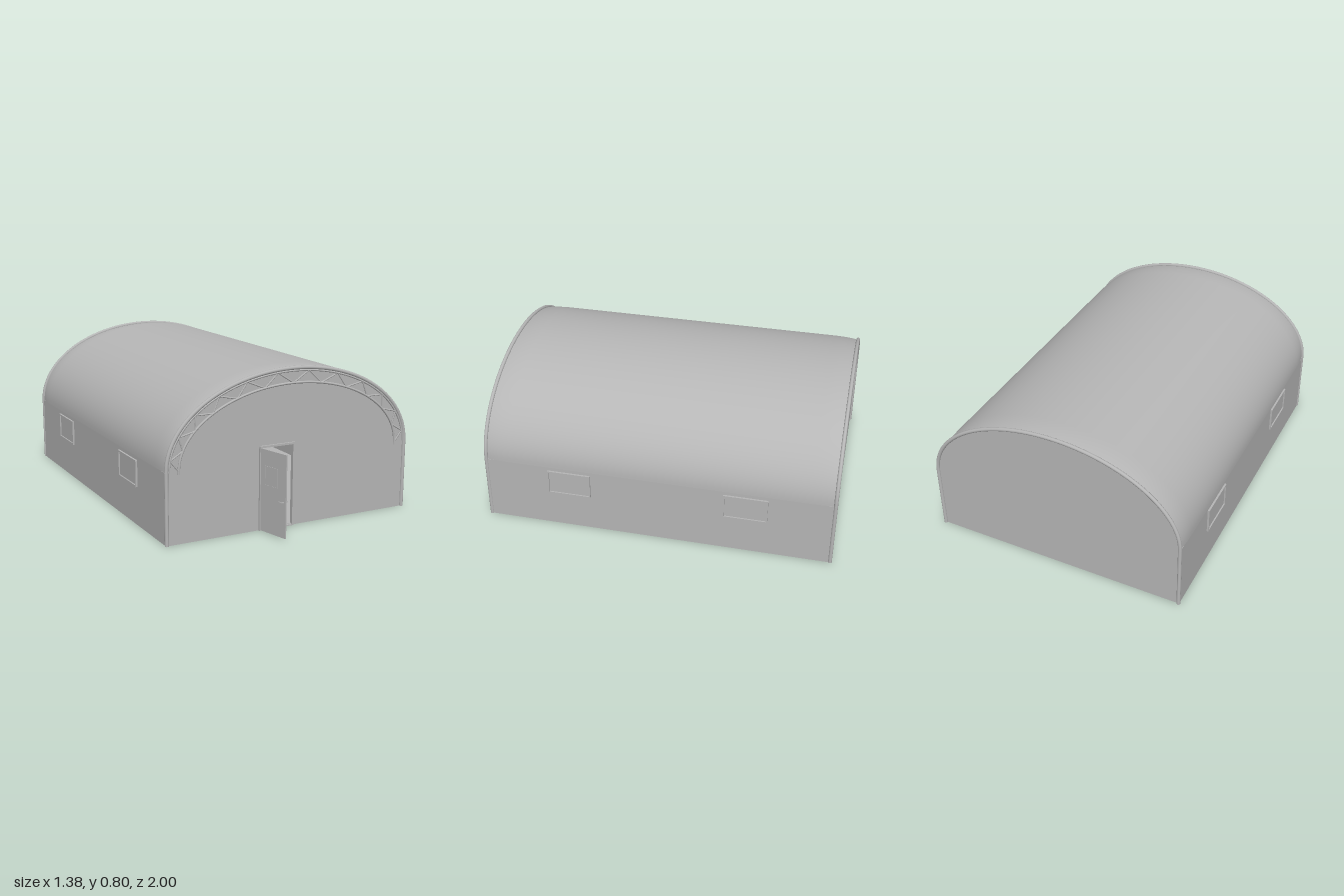
import * as THREE from 'three';

const FRONT = 0.82, BACK = -0.99, EAVE = 0.355;

export function createModel() {
  const model = new THREE.Group();
  model.name = 'archedHangar';
  const grey = new THREE.MeshStandardMaterial({ color: 0xb6b6b6, side: THREE.DoubleSide });
  grey.name = 'plainGrey';

  const add = (name, geometry, parent = model) => {
    const mesh = new THREE.Mesh(geometry, grey);
    mesh.name = name;
    parent.add(mesh);
    return mesh;
  };
  const box = (name, w, h, d, x, y, z, parent) => {
    const mesh = add(name, new THREE.BoxGeometry(w, h, d), parent);
    mesh.position.set(x, y, z);
    return mesh;
  };
  // Point on a half-ellipse above the eaves, t measured from +x
  const arc = (a, b, t, z = 0) => new THREE.Vector3(a * Math.cos(t), EAVE + b * Math.sin(t), z);
  const arcPoints = (a, b, z, n = 48) =>
    Array.from({ length: n + 1 }, (_, i) => arc(a, b, Math.PI * i / n, z));
  const tube = (name, pts, r, parent) =>
    add(name, new THREE.TubeGeometry(new THREE.CatmullRomCurve3(pts), 120, r, 10), parent);

  // Floor slab and side walls
  box('floor', 1.35, 0.008, FRONT - BACK, 0, 0.004, (FRONT + BACK) / 2);
  for (const s of [-1, 1]) {
    box('sideWall', 0.01, EAVE, FRONT - BACK, s * 0.674, EAVE / 2, (FRONT + BACK) / 2);
  }

  // End walls; the front one has a doorway
  const endWall = (name, z, doorway) => {
    const shape = new THREE.Shape();
    shape.moveTo(-0.674, 0);
    if (doorway) {
      shape.lineTo(-0.175, 0);
      shape.lineTo(-0.175, 0.416);
      shape.lineTo(0, 0.416);
      shape.lineTo(0, 0);
    }
    shape.lineTo(0.674, 0);
    for (const p of arcPoints(0.674, 0.432, 0)) shape.lineTo(p.x, p.y);
    add(name, new THREE.ExtrudeGeometry(shape, { depth: 0.01, bevelEnabled: false })).position.z = z;
  };
  endWall('frontWall', FRONT - 0.01, true);
  endWall('backWall', BACK, false);

  // Vaulted roof skin, drawn in slightly towards both ends
  const rows = [[BACK, 0.012], [-0.96, 0.006], [-0.92, 0.002], [-0.87, 0],
    [0.7, 0], [0.75, 0.002], [0.79, 0.006], [FRONT, 0.012]];
  const roof = new THREE.PlaneGeometry(1, 1, 64, rows.length - 1);
  const pos = roof.attributes.position;
  for (let i = 0; i < pos.count; i++) {
    const t = Math.PI * (pos.getX(i) + 0.5);
    const [z, inset] = rows[Math.round((pos.getY(i) + 0.5) * (rows.length - 1))];
    const p = arc(0.682 - inset * 0.7, 0.443 - inset, t, z);
    pos.setXYZ(i, p.x, p.y, p.z);
  }
  roof.computeVertexNormals();
  add('roof', roof);

  // Tubular rims with corner posts at both ends
  for (const z of [FRONT, BACK]) {
    const end = z === FRONT ? 'front' : 'back';
    tube(end + 'RimArch', arcPoints(0.675, 0.435, z), 0.01);
    for (const s of [-1, 1]) {
      const post = add(end + 'Post', new THREE.CylinderGeometry(0.01, 0.01, EAVE, 12));
      post.position.set(s * 0.675, EAVE / 2, z);
    }
  }

  // Lattice truss over the front wall
  const truss = new THREE.Group();
  truss.name = 'frontTruss';
  model.add(truss);
  const tz = FRONT + 0.003;
  tube('outerChord', arcPoints(0.662, 0.422, tz), 0.005, truss);
  const inner = arcPoints(0.612, 0.363, tz);
  inner.unshift(new THREE.Vector3(0.612, 0.34, tz));
  inner.push(new THREE.Vector3(-0.612, 0.34, tz));
  tube('innerChord', inner, 0.006, truss);
  const node = i => {
    const t = Math.PI * i / 24;
    return i % 2 ? arc(0.662, 0.422, t, tz) : arc(0.612, 0.363, t, tz);
  };
  for (let i = 0; i < 24; i++) {
    const a = node(i), b = node(i + 1);
    add('trussBrace', new THREE.TubeGeometry(new THREE.LineCurve3(a, b), 1, 0.004, 8), truss);
  }

  // Door frame
  for (const x of [-0.18, 0.005]) box('doorJamb', 0.01, 0.425, 0.02, x, 0.2125, FRONT);
  box('doorHead', 0.195, 0.01, 0.02, -0.0875, 0.42, FRONT);
  box('doorSill', 0.175, 0.006, 0.02, -0.0875, 0.003, FRONT);

  // Door leaf, swung open on its hinge; local x runs along the leaf
  const door = new THREE.Group();
  door.name = 'door';
  door.position.set(-0.178, 0, FRONT + 0.005);
  door.rotation.y = -Math.atan2(0.17, 0.042);
  model.add(door);
  box('doorLeaf', 0.175, 0.412, 0.007, 0.0875, 0.21, 0, door);
  box('doorPane', 0.082, 0.094, 0.009, 0.075, 0.288, 0, door);
  for (const y of [0.241, 0.335]) box('paneTrim', 0.086, 0.004, 0.012, 0.075, y, 0, door);
  for (const x of [0.034, 0.116]) box('paneTrim', 0.004, 0.098, 0.012, x, 0.288, 0, door);
  for (const s of [-1, 1]) {
    box('handleStem', 0.005, 0.005, 0.014, 0.16, 0.182, s * 0.01, door);
    box('handleGrip', 0.022, 0.006, 0.005, 0.152, 0.182, s * 0.017, door);
  }

  // Framed windows, two on each side
  for (const s of [-1, 1]) {
    for (const z of [0.373, -0.547]) {
      const win = new THREE.Group();
      win.name = 'sideWindow';
      win.position.set(s * 0.682, 0.267, z);
      model.add(win);
      box('windowPane', 0.004, 0.13, 0.22, -s * 0.002, 0, 0, win);
      for (const k of [-1, 1]) {
        box('windowRail', 0.014, 0.008, 0.228, 0, k * 0.064, 0, win);
        box('windowStile', 0.014, 0.136, 0.008, 0, 0, k * 0.11, win);
      }
    }
  }
  return model;
}
